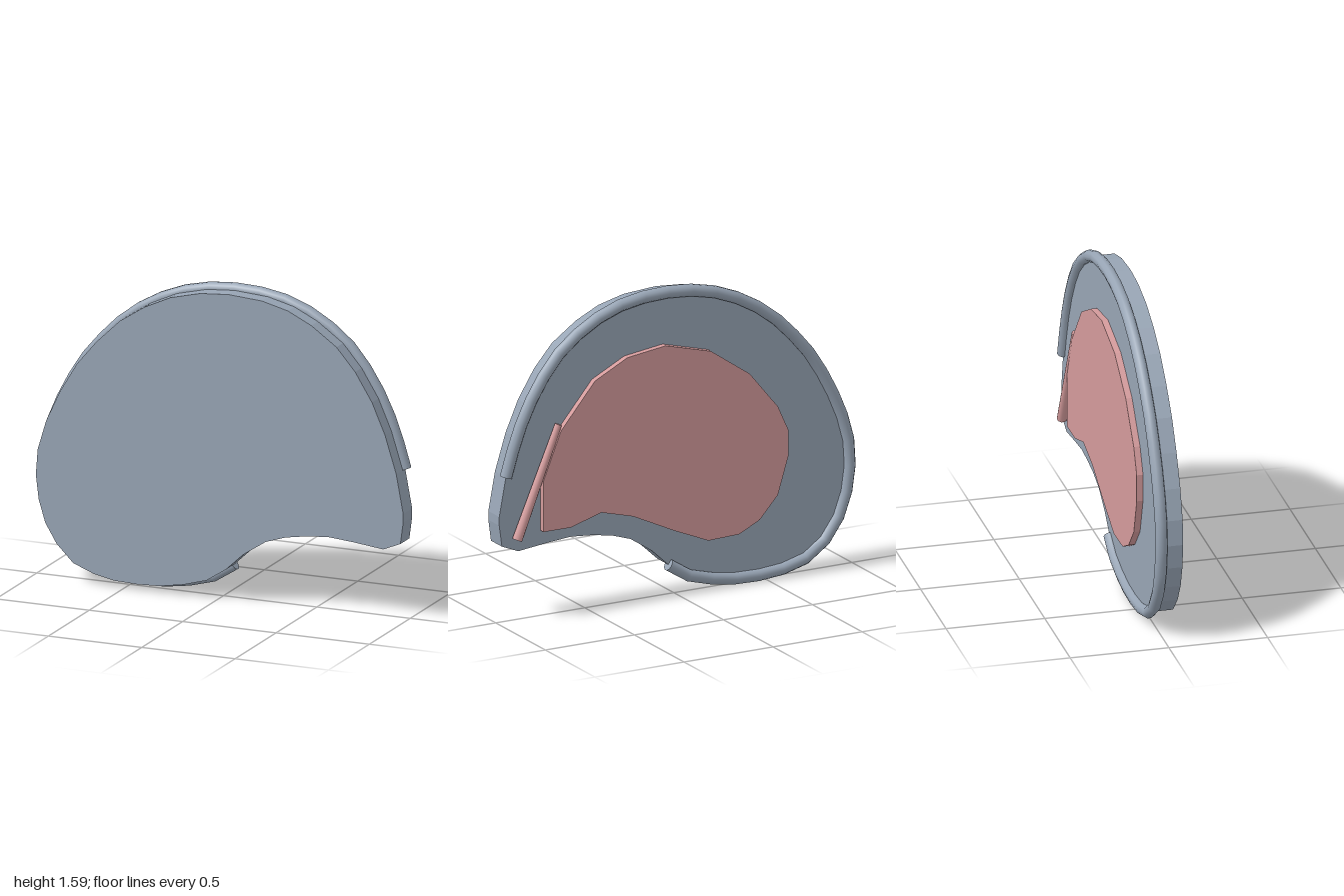
import * as THREE from 'three';

export function createModel() {
  const model = new THREE.Group();
  const slate = new THREE.MeshStandardMaterial({ color: 0x98a5b5 });
  slate.name = 'slate';
  const pink = new THREE.MeshStandardMaterial({ color: 0xd49b9c });
  pink.name = 'dusty pink';

  const add = (name, geometry, material) => {
    const mesh = new THREE.Mesh(geometry, material);
    mesh.name = name;
    model.add(mesh);
    return mesh;
  };
  // Flat slab between two depths, back being the lower z
  const plate = (points, back, front) => {
    const shape = new THREE.Shape(points.map(([x, y]) => new THREE.Vector2(x, y)));
    const g = new THREE.ExtrudeGeometry(shape, { depth: front - back, bevelEnabled: false });
    return g.translate(0, 0, back);
  };

  // Rounded edge, clockwise from the lower notch to the right side
  const arc = [
    [0.048, 0.162], [-0.056, 0.094], [-0.18, 0.058], [-0.31, 0.036], [-0.43, 0.031],
    [-0.55, 0.036], [-0.66, 0.058], [-0.77, 0.1], [-0.86, 0.19], [-0.92, 0.29],
    [-0.955, 0.405], [-0.97, 0.53], [-0.96, 0.66], [-0.915, 0.81], [-0.84, 0.97],
    [-0.75, 1.12], [-0.645, 1.245], [-0.52, 1.365], [-0.39, 1.45], [-0.25, 1.515],
    [-0.09, 1.555], [0.06, 1.567], [0.24, 1.555], [0.38, 1.52], [0.505, 1.46],
    [0.64, 1.365], [0.74, 1.25], [0.83, 1.105], [0.9, 0.945], [0.96, 0.753],
  ];
  // Concave lower edge
  const notch = [
    [0.997, 0.555], [0.997, 0.51], [0.982, 0.4], [0.89, 0.362], [0.73, 0.38],
    [0.596, 0.391], [0.48, 0.381], [0.366, 0.362], [0.26, 0.327], [0.14, 0.248],
  ];
  add('body', plate([...arc, ...notch], -0.03, 0.08), slate);

  // Rim cord along the rear edge, with closed ends
  const path = new THREE.CatmullRomCurve3(arc.map(([x, y]) => new THREE.Vector3(x, y, -0.03)));
  add('rim', new THREE.TubeGeometry(path, 32, 0.031, 10), slate);
  for (const t of [0, 1]) {
    const cap = add('rimEnd', new THREE.CircleGeometry(0.031, 10), slate);
    const out = path.getTangentAt(t).multiplyScalar(t ? 1 : -1);
    cap.position.copy(path.getPointAt(t));
    cap.quaternion.setFromUnitVectors(new THREE.Vector3(0, 0, 1), out);
  }

  // Raised panel on the back
  const panel = [
    [0.765, 0.45], [0.765, 0.715], [0.668, 0.955], [0.477, 1.183], [0.295, 1.275],
    [0.08, 1.303], [-0.175, 1.235], [-0.392, 1.085], [-0.55, 0.892], [-0.608, 0.765],
    [-0.608, 0.626], [-0.55, 0.437], [-0.448, 0.324], [-0.333, 0.268], [-0.16, 0.262],
    [0.03, 0.342], [0.262, 0.452], [0.44, 0.5], [0.612, 0.45],
  ];
  add('backPanel', plate(panel, -0.062, -0.029), pink);

  // Slanted bar beside the panel
  const top = new THREE.Vector3(0.672, 0.985, -0.043);
  const bottom = new THREE.Vector3(0.907, 0.428, -0.05);
  const dir = top.clone().sub(bottom);
  const bar = add('backBar', new THREE.CylinderGeometry(0.018, 0.026, dir.length(), 10), pink);
  bar.position.copy(top).add(bottom).multiplyScalar(0.5);
  bar.quaternion.setFromUnitVectors(new THREE.Vector3(0, 1, 0), dir.normalize());

  return model;
}
